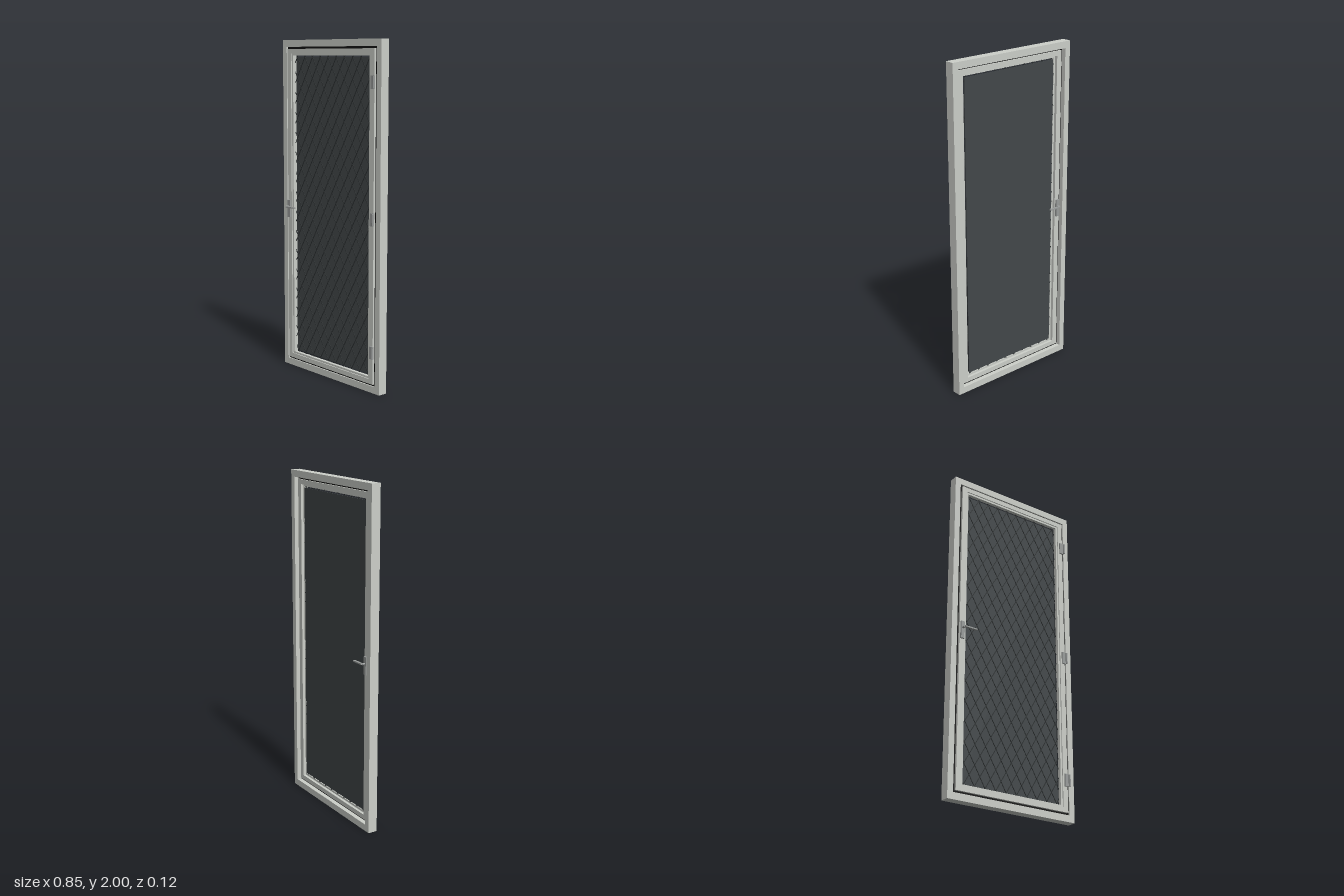
import * as THREE from 'three';

const mat = (color) => new THREE.MeshStandardMaterial({ color });

export function createModel() {
  const door = new THREE.Group();
  door.name = 'meshDoor';
  const paint = mat(0xcdd0ca), metal = mat(0x9a9d9c), rubber = mat(0x141414);
  const panelMat = mat(0x43484a), wireMat = mat(0x2b2f30);

  const add = (parent, name, geometry, material, x = 0, y = 0, z = 0) => {
    const mesh = new THREE.Mesh(geometry, material);
    mesh.name = name;
    mesh.position.set(x, y, z);
    parent.add(mesh);
    return mesh;
  };
  const box = (parent, name, material, x0, x1, y0, y1, z0, z1) =>
    add(parent, name, new THREE.BoxGeometry(x1 - x0, y1 - y0, z1 - z0), material,
      (x0 + x1) / 2, (y0 + y1) / 2, (z0 + z1) / 2);

  // Rectangular ring centred on y = 1, given half sizes and a depth range
  const ring = (name, material, w, h, iw, ih, z0, z1) => {
    const rect = (S, a, b) => new S([[-a, -b], [a, -b], [a, b], [-a, b]]
      .map(([x, y]) => new THREE.Vector2(x, y)));
    const shape = rect(THREE.Shape, w, h);
    shape.holes.push(rect(THREE.Path, iw, ih));
    const geometry = new THREE.ExtrudeGeometry(shape, { depth: z1 - z0, bevelEnabled: false });
    return add(door, name, geometry, material, 0, 1, z0);
  };

  // Frame, seal, leaf and the bead that holds the screen
  ring('outerFrame', paint, 0.427, 1, 0.391, 0.96, -0.043, 0.013);
  ring('seal', rubber, 0.391, 0.96, 0.378, 0.948, -0.015, 0.005);
  ring('leafFrame', paint, 0.378, 0.948, 0.345, 0.92, -0.025, 0.018);
  ring('glazingBead', paint, 0.345, 0.92, 0.333, 0.908, -0.008, 0.012);

  // Screen panel, slightly smaller than the opening
  box(door, 'screenPanel', panelMat, -0.326, 0.326, 0.1, 1.9, -0.012, -0.008);

  // Diamond wires, each clipped to the bead opening
  const mesh = new THREE.Group();
  mesh.name = 'diamondMesh';
  door.add(mesh);
  const W = 0.335, H = 0.91, pitch = 0.12, slope = 12 / 7;
  for (const side of [-1, 1]) {
    for (let i = -12; i <= 12; i++) {
      const c = i * pitch;
      const xa = Math.max(-W, (-H - c) / slope), xb = Math.min(W, (H - c) / slope);
      if (xb - xa < 0.004) continue;
      const length = (xb - xa) * Math.hypot(1, slope), mid = (xa + xb) / 2;
      const wire = add(mesh, 'wire', new THREE.BoxGeometry(length, 0.0035, 0.003), wireMat,
        side * mid, 1 + slope * mid + c, -0.0065);
      wire.rotation.z = side * Math.atan(slope);
    }
  }

  // Three hinges on the left edge
  for (const y of [0.24, 1.005, 1.765]) {
    const hinge = new THREE.Group();
    hinge.name = 'hinge';
    hinge.position.y = y;
    door.add(hinge);
    box(hinge, 'hingePlate', metal, 0.356, 0.384, -0.037, 0.037, 0.018, 0.026);
    box(hinge, 'hingeLink', metal, 0.38, 0.387, -0.034, 0.034, 0.022, 0.031);
    add(hinge, 'hingeKnuckle', new THREE.CylinderGeometry(0.005, 0.005, 0.068, 16), metal,
      0.385, 0, 0.031);
  }

  // Lever handle on both faces
  for (const [side, face, lever] of [[1, 0.018, 0.049], [-1, 0.025, 0.053]]) {
    const handle = new THREE.Group();
    handle.name = side > 0 ? 'frontHandle' : 'backHandle';
    door.add(handle);
    const slab = (name, x0, x1, y0, y1, a, b) =>
      box(handle, name, metal, x0, x1, y0, y1, Math.min(side * a, side * b), Math.max(side * a, side * b));
    slab('handlePlate', -0.373, -0.35, 0.935, 1.04, face, face + 0.011);
    const neck = add(handle, 'handleNeck', new THREE.CylinderGeometry(0.006, 0.006, lever - face, 16),
      metal, -0.362, 1, side * (face + lever) / 2);
    neck.rotation.x = Math.PI / 2;
    slab('handleLever', -0.361, -0.281, 0.996, 1.004, lever - 0.007, lever + 0.007);
  }
  return door;
}
